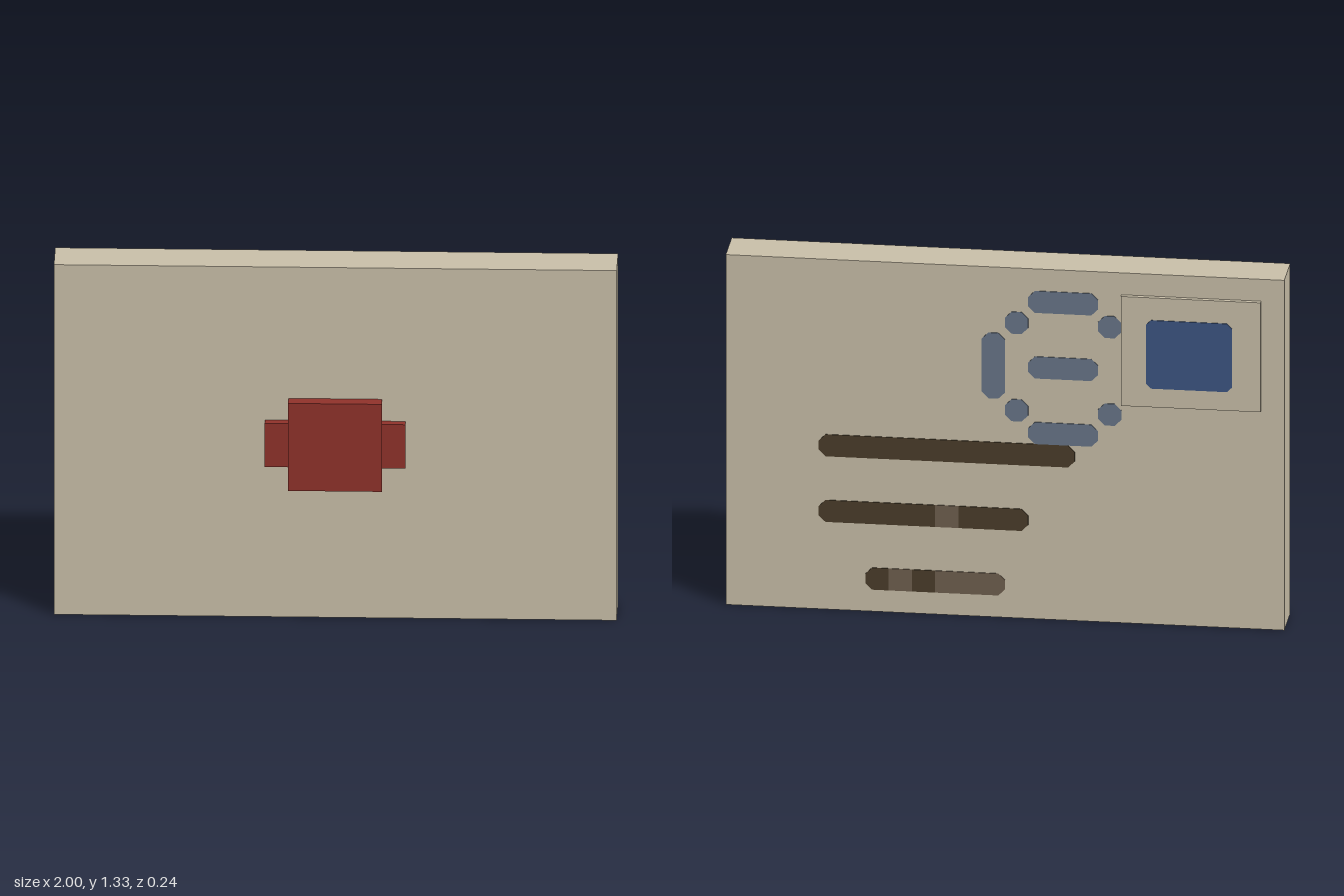
import * as THREE from 'three';

const PX = 1 / 12; // pixel module of the blocky style
const BACK = -0.1; // rear face of the envelope

const material = (name, color) => {
  const m = new THREE.MeshStandardMaterial({ color });
  m.name = name;
  return m;
};

function box(name, mat, x0, x1, y0, y1, z0, z1) {
  const mesh = new THREE.Mesh(new THREE.BoxGeometry(x1 - x0, y1 - y0, z1 - z0), mat);
  mesh.position.set((x0 + x1) / 2, (y0 + y1) / 2, (z0 + z1) / 2);
  mesh.name = name;
  return mesh;
}

// Thin painted plate; each x end may have clipped corners
function plate(name, mat, x0, x1, y0, y1, zFace, clipLow = true, clipHigh = true, c = 0.024) {
  const a = clipLow ? c : 0, b = clipHigh ? c : 0;
  const pts = [[x0 + a, y0], [x1 - b, y0]];
  if (b) pts.push([x1, y0 + b]);
  pts.push(b ? [x1, y1 - b] : [x1, y1]);
  if (b) pts.push([x1 - b, y1]);
  pts.push([x0 + a, y1]);
  if (a) pts.push([x0, y1 - a], [x0, y0 + a]);
  const shape = new THREE.Shape(pts.map(([x, y]) => new THREE.Vector2(x, y)));
  const geo = new THREE.ExtrudeGeometry(shape, { depth: 0.003, bevelEnabled: false });
  const mesh = new THREE.Mesh(geo, mat);
  mesh.position.z = zFace - 0.003;
  mesh.name = name;
  return mesh;
}

export function createModel() {
  const paper = material('paper', 0xc9bfa9);
  const wax = material('sealing wax', 0x90322b);
  const ink = material('dark ink', 0x4a3d2a);
  const fadedInk = material('faded ink', 0x6f5f4e);
  const postmarkInk = material('postmark ink', 0x687588);
  const stampBlue = material('stamp blue', 0x3c5582);

  const model = new THREE.Group();
  model.name = 'envelope';
  model.add(box('envelopeBody', paper, -1, 1, 0, 4 / 3, BACK, 0.067));

  // Wax seal on the front
  const seal = new THREE.Group();
  seal.name = 'waxSeal';
  seal.add(box('sealCentre', wax, -2 * PX, 2 * PX, 6 * PX, 10 * PX, 0.067, 0.117));
  for (const s of [-1, 1]) {
    seal.add(box('sealSide', wax, s * 2.5 * PX - PX / 2, s * 2.5 * PX + PX / 2, 7 * PX, 9 * PX, 0.067, 0.1));
  }
  model.add(seal);

  // Stamp with a blue panel on the back
  const stamp = new THREE.Group();
  stamp.name = 'stamp';
  stamp.add(box('stampPaper', paper, -11 * PX, -5 * PX, 10 * PX, 15 * PX, -0.117, BACK));
  stamp.add(plate('stampPanel', stampBlue, -0.815, -0.507, 0.905, 1.165, -0.117, true, true, 0.018));
  model.add(stamp);

  // Address lines: [row, first column, last column, faded], columns run towards -x
  const address = new THREE.Group();
  address.name = 'addressLines';
  const lines = [
    [7, [[8, -3, 0]]],
    [4, [[8, 3, 0], [3, 2, 1], [2, -1, 0]]],
    [1, [[6, 5, 0], [5, 4, 1], [4, 3, 0], [3, 0, 1]]],
  ];
  for (const [row, parts] of lines) {
    parts.forEach(([from, to, faded], i) => {
      address.add(plate('addressDash', faded ? fadedInk : ink, to * PX, from * PX,
        row * PX, (row + 1) * PX, BACK, i === parts.length - 1, i === 0));
    });
  }
  model.add(address);

  // Round postmark: [x0, x1, y0, y1] in pixels
  const postmark = new THREE.Group();
  postmark.name = 'postmark';
  const marks = [
    [0, 1, 10, 13], [-4, -1, 14, 15], [-4, -1, 11, 12], [-4, -1, 8, 9],
    [-1, 0, 13, 14], [-5, -4, 13, 14], [-1, 0, 9, 10], [-5, -4, 9, 10],
  ];
  for (const m of marks) {
    postmark.add(plate('postmarkDash', postmarkInk, ...m.map((v) => v * PX), BACK));
  }
  model.add(postmark);

  return model;
}
